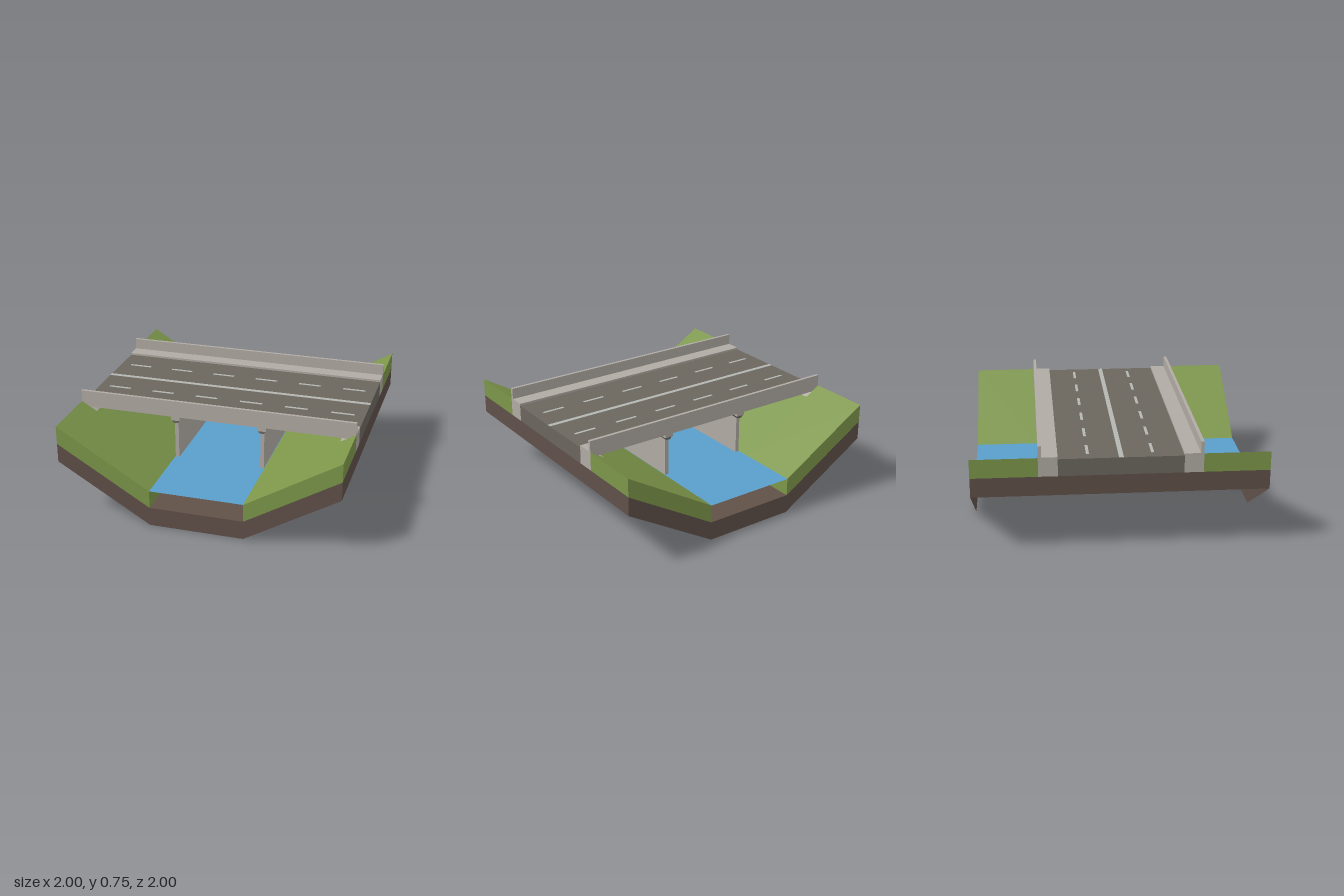
import * as THREE from 'three';

const material = (color) => new THREE.MeshStandardMaterial({ color, side: THREE.DoubleSide, flatShading: true });
const grass = material(0x7c964a);
const soil = material(0x605048);
const water = material(0x5a9fcc);
const concrete = material(0xb0aaa3);
const asphalt = material(0x6b665e);
const paint = material(0xb4b6b2);
const darkConcrete = material(0x6b665e);

export function createModel() {
  const model = new THREE.Group();

  function add(parent, name, geometry, mat) {
    const mesh = new THREE.Mesh(geometry, mat);
    mesh.name = name;
    parent.add(mesh);
    return mesh;
  }

  // box given by its minimum and maximum on each axis
  function box(parent, name, mat, [x0, x1], [y0, y1], [z0, z1]) {
    const mesh = add(parent, name, new THREE.BoxGeometry(x1 - x0, y1 - y0, z1 - z0), mat);
    mesh.position.set((x0 + x1) / 2, (y0 + y1) / 2, (z0 + z1) / 2);
    return mesh;
  }

  const shapeOf = (points) => new THREE.Shape(points.map(([x, y]) => new THREE.Vector2(x, y)));

  // flat outline in x and y, drawn at one z
  function wall(parent, name, mat, points, z) {
    add(parent, name, new THREE.ShapeGeometry(shapeOf(points)), mat).position.z = z;
  }

  // outline in x and y, pushed from z0 to z1
  function prism(parent, name, mat, points, z0, z1) {
    const geometry = new THREE.ExtrudeGeometry(shapeOf(points), { depth: z1 - z0, bevelEnabled: false });
    add(parent, name, geometry, mat).position.z = z0;
  }

  // rectangle sweeping an edge in x and y from z0 to z1
  function sheet(parent, name, mat, [ax, ay], [bx, by], z0, z1) {
    const geometry = new THREE.BufferGeometry();
    geometry.setAttribute('position', new THREE.Float32BufferAttribute(
      [ax, ay, z1, bx, by, z1, bx, by, z0, ax, ay, z1, bx, by, z0, ax, ay, z0], 3));
    geometry.computeVertexNormals();
    add(parent, name, geometry, mat);
  }

  // Valley: hollow shell of soil walls, grass banks and a river
  const bed = 0.335;
  const valley = new THREE.Group();
  valley.name = 'valley';
  model.add(valley);
  const soilProfile = [[-1, 0.4], [-bed, 0], [bed, 0], [1, 0.4],
    [1, 0.535], [bed, 0.135], [-bed, 0.135], [-1, 0.535]];
  for (const z of [-1, 1]) wall(valley, 'soilWall', soil, soilProfile, z);
  sheet(valley, 'riverBed', soil, [-bed, 0.135], [bed, 0.135], -1, 1);
  sheet(valley, 'riverWater', water, [-bed, 0.265], [bed, 0.265], -1, 1);

  for (const s of [-1, 1]) {
    const inner = [s * bed, 0.265];
    const outer = [s, 0.667];
    sheet(valley, 'soilEnd', soil, [s, 0.4], [s, 0.535], -1, 1);
    sheet(valley, 'bankFoot', grass, [s * bed, 0.135], inner, -1, 1);
    sheet(valley, 'bankUnderRoad', grass, inner, [s * 0.89, 0.6], -0.55, 0.55);
    for (const [z0, z1] of [[-1, -0.55], [0.55, 1]]) {
      sheet(valley, 'bankSlope', grass, inner, outer, z0, z1);
      sheet(valley, 'bankEnd', grass, [s, 0.535], outer, z0, z1);
    }
    for (const z of [-1, 1]) {
      wall(valley, 'bankSide', grass, [[s * bed, 0.135], inner, outer, [s, 0.535]], z);
    }
  }

  // Bridge deck with wedge ends that sit in the banks
  const bridge = new THREE.Group();
  bridge.name = 'bridge';
  model.add(bridge);
  const deckProfile = (top) => [[-1, 0.535], [-0.89, 0.59], [0.89, 0.59], [1, 0.535], [1, top], [-1, top]];
  prism(bridge, 'roadDeck', asphalt, deckProfile(0.655), -0.42, 0.42);

  for (const s of [-1, 1]) {
    const span = (a, b) => [Math.min(s * a, s * b), Math.max(s * a, s * b)];
    prism(bridge, 'edgeBeam', concrete, deckProfile(0.66), ...span(0.42, 0.455));
    box(bridge, 'sidewalk', concrete, [-1, 1], [0.63, 0.67], span(0.42, 0.55));
    box(bridge, 'parapet', concrete, [-1, 1], [0.67, 0.75], span(0.528, 0.55));
    for (const e of [-1, 1]) {
      prism(bridge, 'abutment', concrete,
        [[e, 0.535], [e, 0.63], [e * 0.94, 0.63], [e * 0.89, 0.6]], ...span(0.455, 0.55));
    }
  }

  // Road markings
  const markY = [0.655, 0.657];
  box(bridge, 'centreLine', paint, [-1, 1], markY, [-0.016, 0.016]);
  for (const z of [-0.22, 0.215]) {
    for (let i = 0; i < 6; i++) {
      const x = -0.84 + i * 0.336;
      box(bridge, 'laneDash', paint, [x - 0.083, x + 0.083], markY, [z - 0.01, z + 0.01]);
    }
  }

  // Wall piers with flared heads and caps
  for (const s of [-1, 1]) {
    const x = s * 0.318;
    const pier = new THREE.Group();
    pier.name = 'pier';
    pier.position.x = x;
    bridge.add(pier);
    box(pier, 'pierWall', concrete, [-0.014, 0.014], [0.135, 0.55], [-0.45, 0.45]);
    prism(pier, 'pierHead', darkConcrete,
      [[-0.016, 0.545], [0.016, 0.545], [0.033, 0.567], [-0.033, 0.567]], -0.47, 0.47);
    box(pier, 'pierCap', concrete, [-0.033, 0.033], [0.567, 0.63], [-0.48, 0.48]);
  }

  return model;
}
